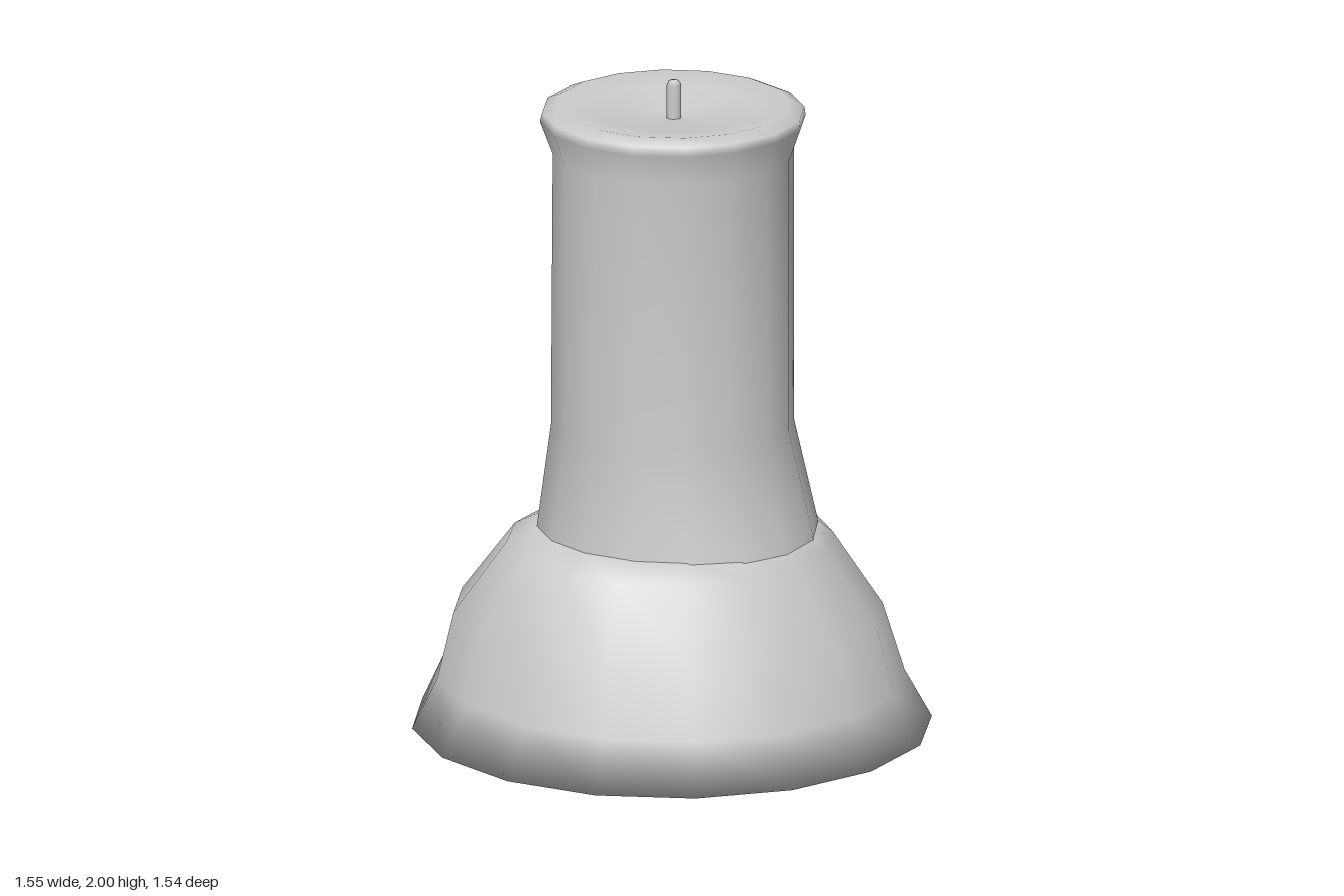
import * as THREE from 'three';

const SIDES = 16;
const CX = 0.01; // the candle stands a touch off centre
const grey = new THREE.MeshStandardMaterial({ color: 0xcccccc });

// Smooth skin over rings [y, reach to -x, +x, -z, +z]; zero-reach rings close the ends.
function ringBody(name, rings) {
  const pos = [], idx = [];
  for (const [y, left, right, back, front] of rings) {
    for (let i = 0; i < SIDES; i++) {
      const a = (i / SIDES) * Math.PI * 2;
      const c = Math.cos(a), s = Math.sin(a);
      pos.push(CX + c * (c < 0 ? left : right), y, s * (s < 0 ? back : front));
    }
  }
  for (let r = 0; r < rings.length - 1; r++) {
    for (let i = 0; i < SIDES; i++) {
      const j = (i + 1) % SIDES;
      const a = r * SIDES + i, b = r * SIDES + j;
      const c = a + SIDES, d = b + SIDES;
      if (rings[r][1] > 0) idx.push(a, d, b);
      if (rings[r + 1][1] > 0) idx.push(a, c, d);
      // a closing ring is a single point, so one triangle per side is enough
      else if (rings[r][1] > 0) idx.splice(idx.length - 3, 3, a, c, b);
    }
  }
  const geo = new THREE.BufferGeometry();
  geo.setAttribute('position', new THREE.Float32BufferAttribute(pos, 3));
  geo.setIndex(idx);
  geo.computeVertexNormals();
  const mesh = new THREE.Mesh(geo, grey);
  mesh.name = name;
  return mesh;
}

export function createModel() {
  const group = new THREE.Group();
  group.name = 'candle';

  // Spread wax foot: flat underside, flared hem, sloping shoulder tucked into the column
  group.add(ringBody('waxBase', [
    [0, 0, 0, 0, 0],
    [0, 0.79, 0.765, 0.775, 0.77],
    [0.15, 0.725, 0.69, 0.685, 0.685],
    [0.36, 0.66, 0.635, 0.61, 0.655],
    [0.58, 0.49, 0.47, 0.48, 0.51],
    [0.625, 0.4, 0.425, 0.42, 0.42],
    [0.63, 0.3, 0.3, 0.3, 0.3],
  ]));

  // Column with flared foot, rolled lip and shallow melted dish
  group.add(ringBody('column', [
    [0.58, 0.41, 0.445, 0.425, 0.42],
    [0.64, 0.405, 0.435, 0.415, 0.41],
    [0.94, 0.365, 0.36, 0.355, 0.37],
    [1.78, 0.36, 0.36, 0.355, 0.365],
    [1.88, 0.4, 0.395, 0.39, 0.4],
    [1.907, 0.393, 0.393, 0.385, 0.395],
    [1.925, 0.35, 0.35, 0.345, 0.35],
    [1.91, 0.24, 0.24, 0.24, 0.24],
    [1.88, 0, 0, 0, 0],
  ]));

  // Wick with a softly rounded tip
  const wickProfile = [[0.022, 1.86], [0.022, 1.985], [0.015, 1.997], [0, 2]]
    .map(([r, y]) => new THREE.Vector2(r, y));
  const wick = new THREE.Mesh(new THREE.LatheGeometry(wickProfile, 10), grey);
  wick.name = 'wick';
  wick.position.x = CX;
  group.add(wick);

  return group;
}
